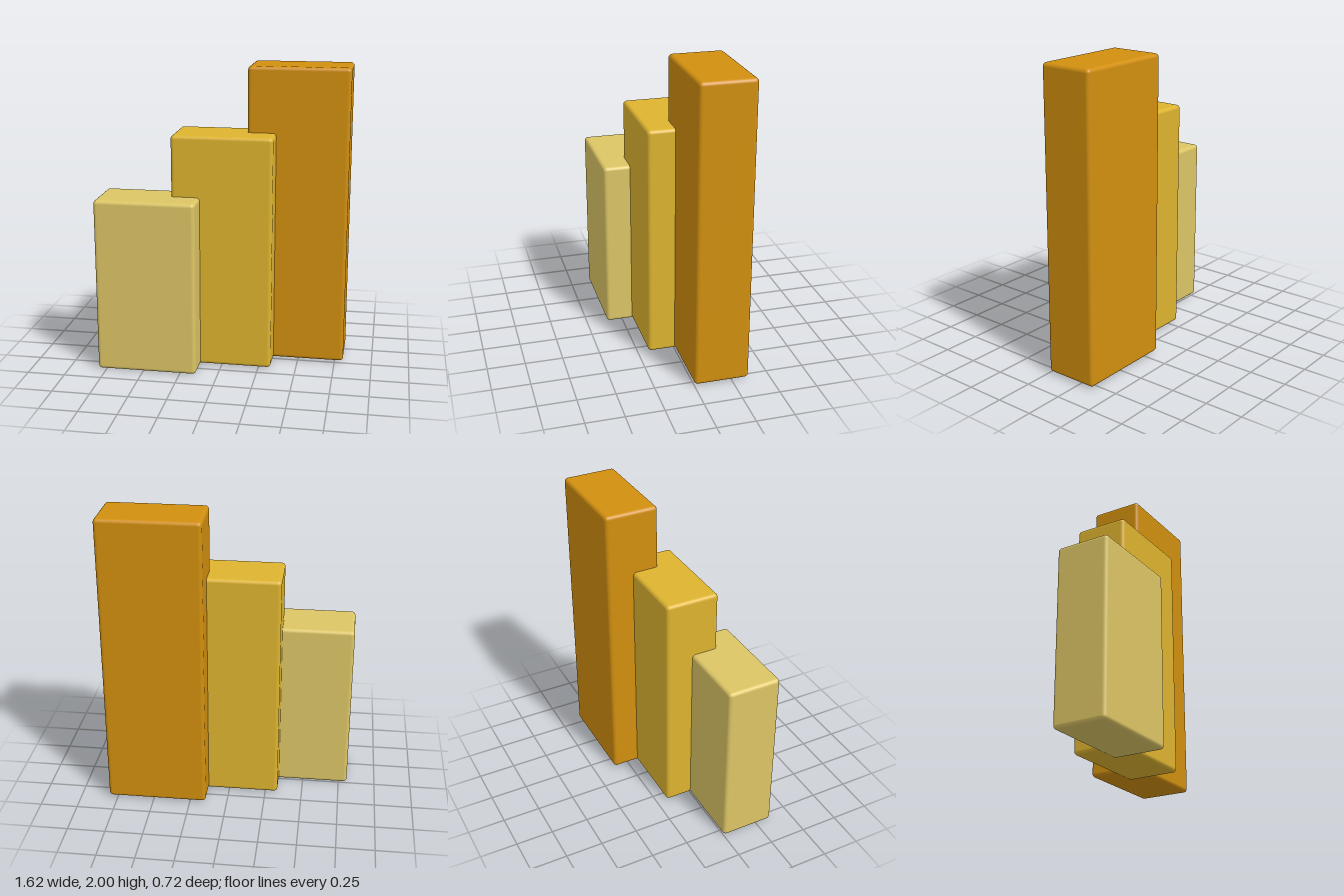
import * as THREE from 'three';
import { RoundedBoxGeometry } from 'three/addons/geometries/RoundedBoxGeometry.js';

const WIDTH = 0.665, DEPTH = 0.36, RADIUS = 0.025;

// Three overlapping bars, stepping up and back from right to left
const BARS = [
  { name: 'shortBar', color: 0xdcc565, x: -0.475, z: 0.18, bottom: 0, top: 1.165 },
  { name: 'middleBar', color: 0xddb32f, x: 0, z: 0, bottom: 0.005, top: 1.57 },
  { name: 'tallBar', color: 0xd18f0f, x: 0.475, z: -0.18, bottom: 0.01, top: 2 },
];

export function createModel() {
  const model = new THREE.Group();
  model.name = 'barChart';
  for (const { name, color, x, z, bottom, top } of BARS) {
    // Softly rounded upright block
    const bar = new THREE.Mesh(
      new RoundedBoxGeometry(WIDTH, top - bottom, DEPTH, 4, RADIUS),
      new THREE.MeshStandardMaterial({ color })
    );
    bar.name = name;
    bar.position.set(x, (bottom + top) / 2, z);
    model.add(bar);
  }
  return model;
}
